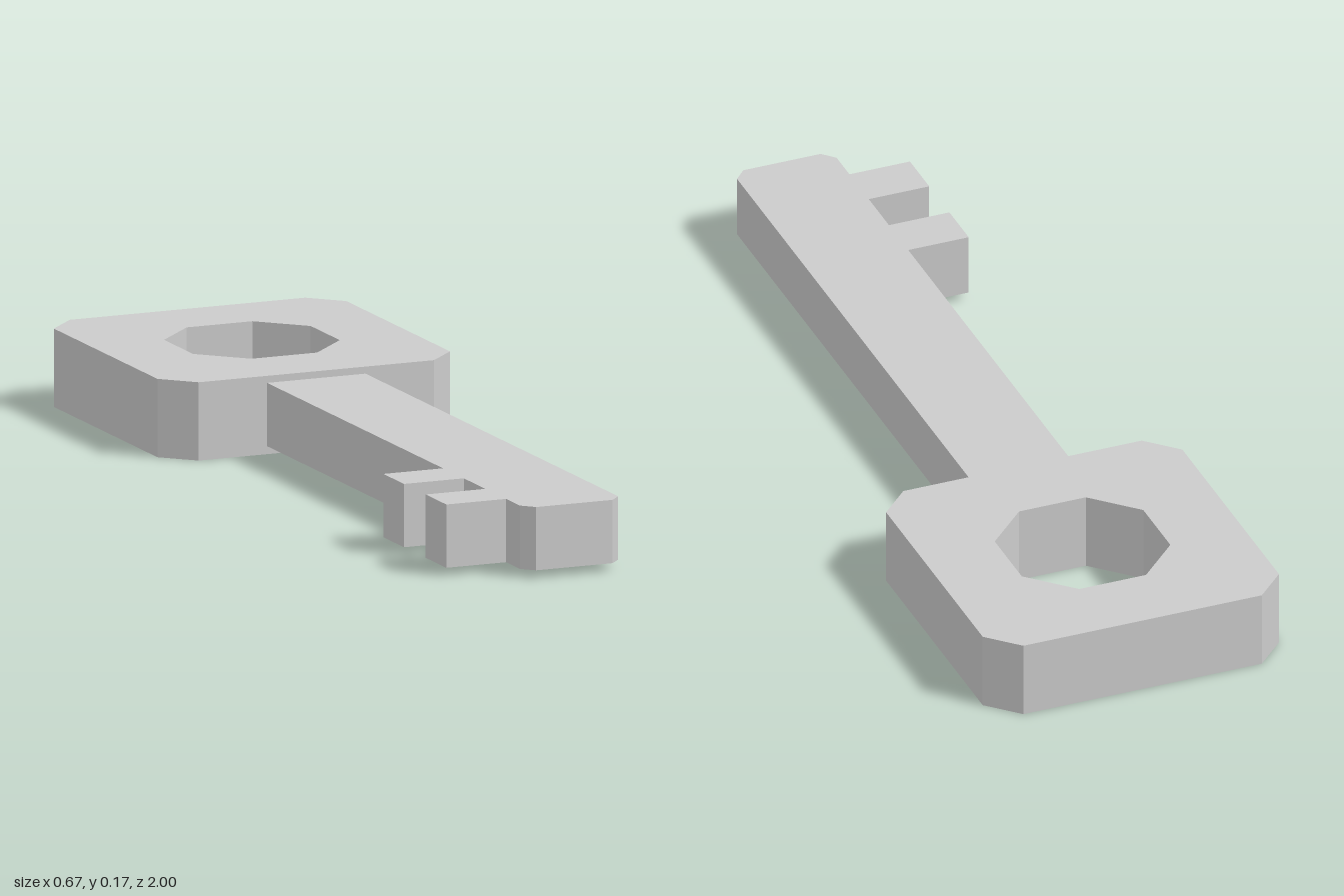
import * as THREE from 'three';

const material = new THREE.MeshStandardMaterial({ color: 0xcccccc, flatShading: true });

const toPoints = (list) => list.map(([x, z]) => new THREE.Vector2(x, z));

// Square outline with cut corners, centred on (0, cz)
function cutSquare(half, flat, cz) {
  return toPoints([
    [-flat, -half], [flat, -half], [half, -flat], [half, flat],
    [flat, half], [-flat, half], [-half, flat], [-half, -flat],
  ].map(([x, z]) => [x, z + cz]));
}

// Extrudes a plan outline (x, z) between two heights
function plate(name, shape, bottom, top) {
  const geometry = new THREE.ExtrudeGeometry(shape, { depth: top - bottom, bevelEnabled: false });
  geometry.rotateX(Math.PI / 2).translate(0, top, 0);
  const mesh = new THREE.Mesh(geometry, material);
  mesh.name = name;
  return mesh;
}

export function createModel() {
  const group = new THREE.Group();
  group.name = 'key';

  // Handle: thick square with cut corners and an eight-sided hole
  const bowZ = -0.667;
  const bow = new THREE.Shape(cutSquare(0.333, 0.268, bowZ));
  bow.holes.push(new THREE.Path(cutSquare(0.167, 0.075, bowZ)));
  group.add(plate('bow', bow, 0, 0.167));

  // Shaft with cut tip corners and two teeth on its right side
  const w = 0.112, tooth = -0.248, tip = 0.087;
  const outline = [[-w, -0.334], [w, -0.334], [w, 0.973], [tip, 1], [-tip, 1], [-w, 0.973]];
  for (const [near, far] of [[0.795, 0.902], [0.576, 0.683]]) {
    outline.push([-w, far], [tooth, far], [tooth, near], [-w, near]);
  }
  group.add(plate('shaftAndTeeth', new THREE.Shape(toPoints(outline)), 0.017, 0.152));

  return group;
}
